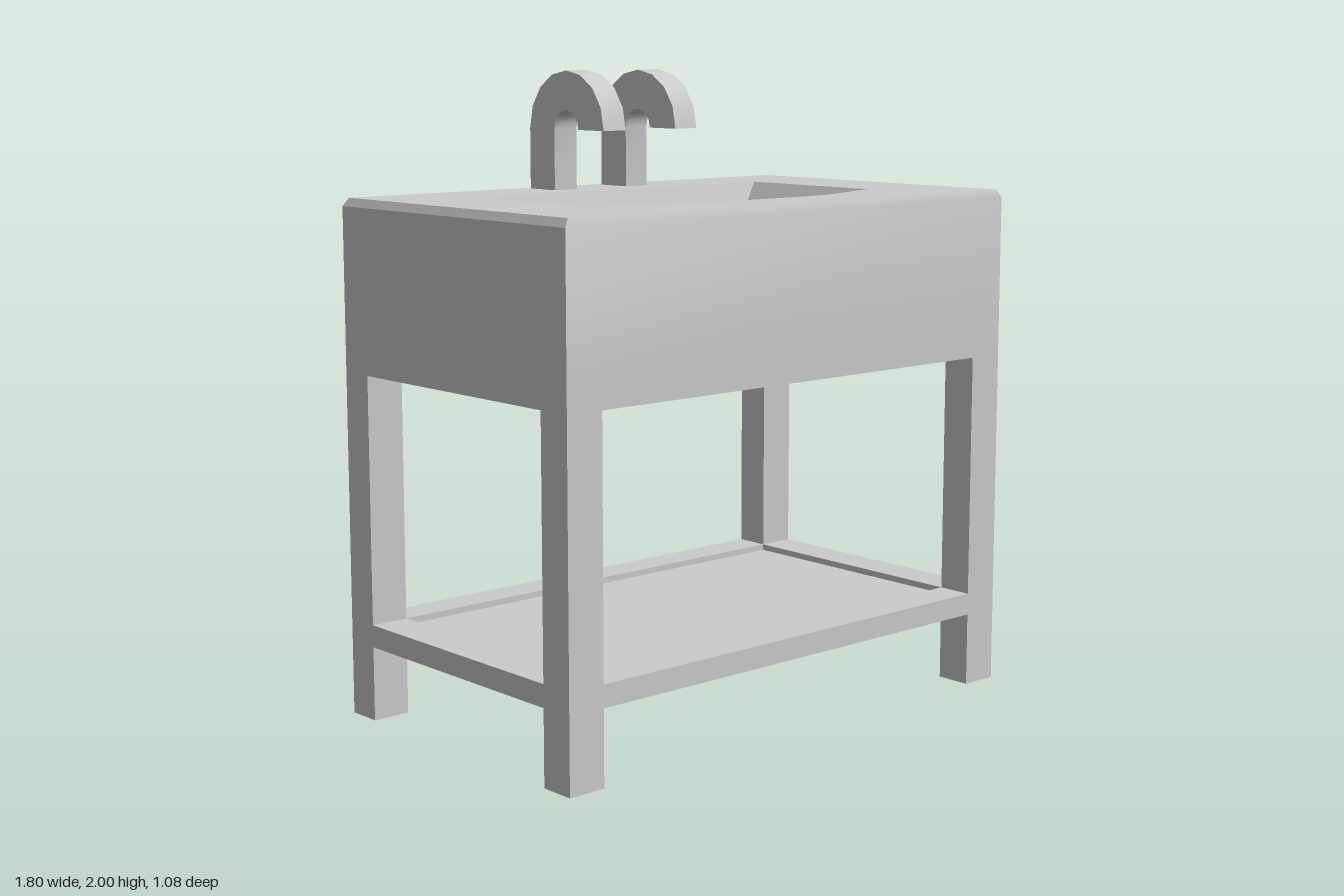
import * as THREE from 'three';
import { toCreasedNormals } from 'three/addons/utils/BufferGeometryUtils.js';

const material = new THREE.MeshStandardMaterial({ color: 0xcccccc });
const W = 0.9, D = 0.54;           // half width and half depth
const LEG_X = 0.125, LEG_Z = 0.115; // leg section
const TOP = 1.62, UNDER = 1.085;

function add(parent, name, geometry, x = 0, y = 0, z = 0) {
  const mesh = new THREE.Mesh(geometry, material);
  mesh.name = name;
  mesh.position.set(x, y, z);
  parent.add(mesh);
  return mesh;
}

// Walls joining rings of [x, z] points, anticlockwise from above.
function loft(rings) {
  const p = [];
  for (let r = 0; r + 1 < rings.length; r++) {
    const lo = rings[r], hi = rings[r + 1], n = lo.points.length;
    const at = (ring, i) => [ring.points[i % n][0], ring.y, ring.points[i % n][1]];
    for (let i = 0; i < n; i++) {
      p.push(...at(lo, i), ...at(lo, i + 1), ...at(hi, i + 1));
      p.push(...at(lo, i), ...at(hi, i + 1), ...at(hi, i));
    }
  }
  const g = new THREE.BufferGeometry();
  g.setAttribute('position', new THREE.Float32BufferAttribute(p, 3));
  return toCreasedNormals(g, Math.PI / 6);
}

// Flat horizontal face looking up, with an optional hole.
function plate(points, hole) {
  const flat = (list) => list.map(([x, z]) => new THREE.Vector2(x, -z));
  const shape = new THREE.Shape(flat(points));
  if (hole) shape.holes.push(new THREE.Path(flat(hole)));
  return new THREE.ShapeGeometry(shape).rotateX(-Math.PI / 2);
}

const rect = (x, z) => [[-x, z], [x, z], [x, -z], [-x, -z]];

// Basin outline: straight back, canted front corners.
const basinRing = (x, back, side, fx, front) =>
  [[-x, side], [-fx, front], [fx, front], [x, side], [x, back], [-x, back]];

// Hooked spout profile in (z, y), extruded along x.
function tapGeometry(width) {
  const cz = -0.325, cy = 1.815, outer = 0.185, inner = 0.06, steps = 8;
  const pts = [];
  const arc = (r, from, to) => {
    for (let i = 0; i <= steps; i++) {
      const a = from + (to - from) * i / steps;
      pts.push(new THREE.Vector2(-(cz + r * Math.cos(a)), cy + r * Math.sin(a)));
    }
  };
  pts.push(new THREE.Vector2(-(cz - outer), TOP - 0.01));
  arc(outer, Math.PI, 0);
  arc(inner, 0, Math.PI);
  pts.push(new THREE.Vector2(-(cz - inner), TOP - 0.01));
  const g = new THREE.ExtrudeGeometry(new THREE.Shape(pts), { depth: width, bevelEnabled: false });
  g.translate(0, 0, -width / 2).rotateY(Math.PI / 2);
  return toCreasedNormals(g, Math.PI / 6);
}

export function createModel() {
  const model = new THREE.Group();
  model.name = 'washstand';

  // Cabinet with a narrow bevel around the top
  const cabinet = new THREE.Group();
  cabinet.name = 'cabinet';
  model.add(cabinet);
  const topRect = rect(W - 0.017, D - 0.01);
  add(cabinet, 'cabinetWalls', loft([
    { y: UNDER, points: rect(W, D) },
    { y: TOP - 0.025, points: rect(W, D) },
    { y: TOP, points: topRect },
  ]));
  add(cabinet, 'cabinetUnderside', plate(rect(W, D)), 0, UNDER).rotation.x = Math.PI;

  // Counter and sunken basin
  const rim = basinRing(0.587, -0.285, 0.245, 0.28, 0.35);
  const floor = basinRing(0.41, -0.212, 0.195, 0.22, 0.28);
  const floorY = TOP - 0.22;
  add(cabinet, 'counterTop', plate(topRect, rim), 0, TOP);
  add(cabinet, 'basinWalls', loft([{ y: TOP, points: rim }, { y: floorY, points: floor }]));
  add(cabinet, 'basinFloor', plate(floor), 0, floorY);

  // Legs, and shelf rails flush with their outer faces
  const railY = 0.27, railH = 0.07;
  const innerX = W - LEG_X, innerZ = D - LEG_Z;
  for (const s of [-1, 1]) {
    for (const t of [-1, 1]) {
      add(model, 'leg', new THREE.BoxGeometry(LEG_X, UNDER, LEG_Z),
        s * (W - LEG_X / 2), UNDER / 2, t * (D - LEG_Z / 2));
    }
    add(model, 'longRail', new THREE.BoxGeometry(innerX * 2, railH, LEG_Z),
      0, railY, s * (D - LEG_Z / 2));
    add(model, 'sideRail', new THREE.BoxGeometry(LEG_X, railH, innerZ * 2),
      s * (W - LEG_X / 2), railY, 0);
  }

  // Shelf panel set in from both faces of the rails
  add(model, 'shelfPanel', new THREE.BoxGeometry(innerX * 2, 0.03, innerZ * 2), 0, railY, 0);

  // Pair of taps
  for (const x of [-0.153, 0.145]) add(model, 'tap', tapGeometry(0.09), x);

  return model;
}
